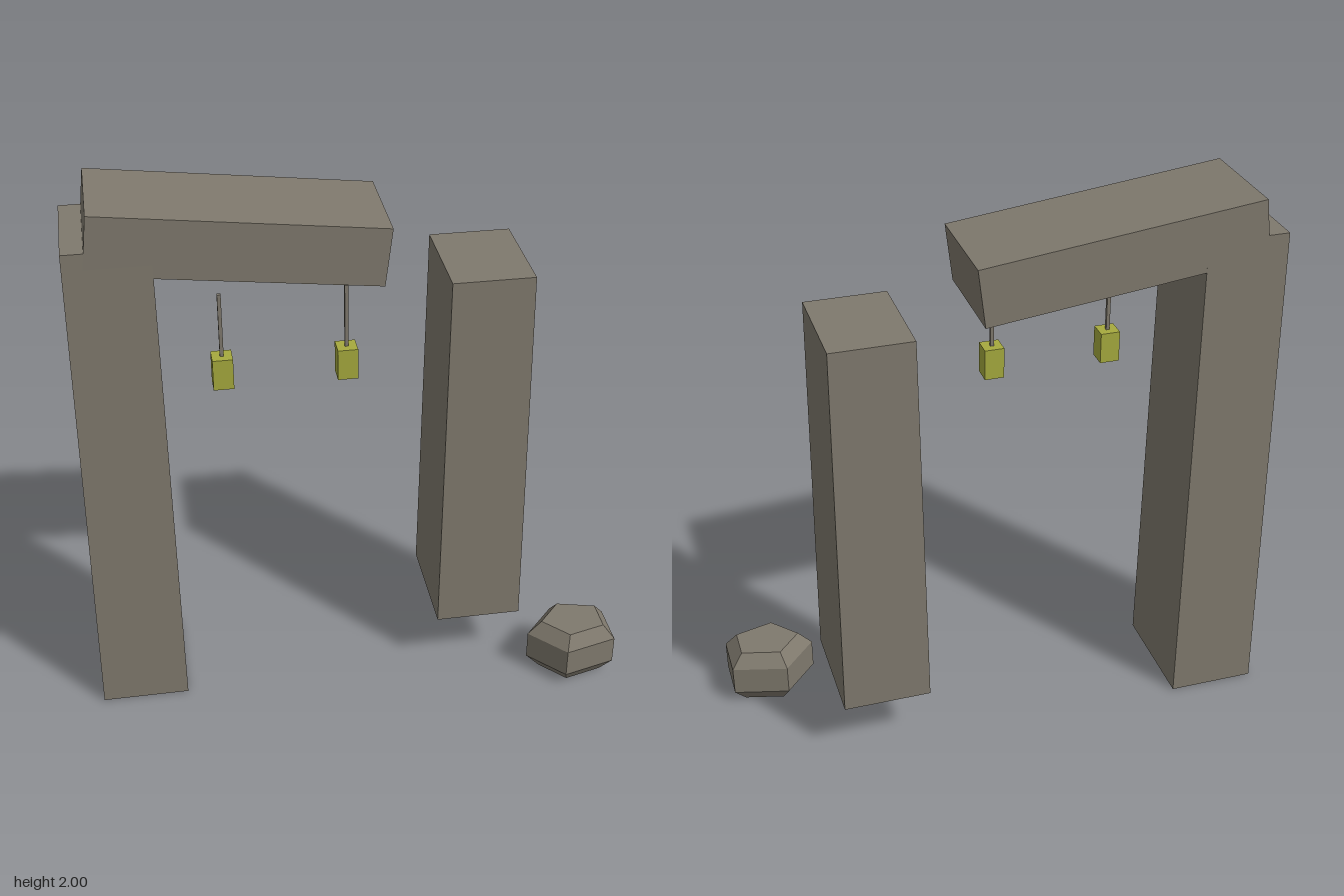
import * as THREE from 'three';

export function createModel() {
  const model = new THREE.Group();
  model.name = 'ruinedGate';

  const stone = new THREE.MeshStandardMaterial({ color: 0x7f796d, flatShading: true });
  stone.name = 'stone';
  const glow = new THREE.MeshStandardMaterial({ color: 0xa6aa3e, flatShading: true });
  glow.name = 'lanternYellow';

  const Z = -0.105; // depth centre of the gate

  function add(name, geometry, material, x, y, z, parent = model) {
    const mesh = new THREE.Mesh(geometry, material);
    mesh.name = name;
    mesh.position.set(x, y, z);
    parent.add(mesh);
    return mesh;
  }

  // Box standing on its base, narrowing towards the top
  function taperedBox(w, h, d, topScale) {
    const g = new THREE.BoxGeometry(w, h, d).translate(0, h / 2, 0);
    const p = g.attributes.position;
    for (let i = 0; i < p.count; i++) {
      if (p.getY(i) > h / 2) {
        p.setX(i, p.getX(i) * topScale);
        p.setZ(i, p.getZ(i) * topScale);
      }
    }
    g.computeVertexNormals();
    return g;
  }

  // Pillars: one standing, one shorter and floating
  add('tallPillar', taperedBox(0.32, 1.87, 0.425, 0.915), stone, -0.82, 0, Z);
  add('floatingPillar', taperedBox(0.32, 1.44, 0.425, 0.915), stone, 0.473, 0.22, Z);

  // Broken lintel, tilted down towards its free end
  const lintel = add('brokenLintel', new THREE.BoxGeometry(1.002, 0.211, 0.39), stone, -0.39, 1.835, Z);
  lintel.rotation.z = -0.12;

  // Hanging lanterns
  for (const x of [-0.461, -0.029]) {
    const lantern = new THREE.Group();
    lantern.name = 'hangingLantern';
    lantern.position.set(x, 0, 0.035);
    model.add(lantern);
    add('lanternRod', new THREE.BoxGeometry(0.013, 0.235, 0.013), stone, 0, 1.5425, 0, lantern);
    add('lanternBody', new THREE.BoxGeometry(0.071, 0.115, 0.071), glow, 0, 1.3675, 0, lantern);
  }

  // Five-sided fallen boulder with bevelled top and bottom
  const profile = [[0, 0], [0.126, 0], [0.178, 0.054], [0.178, 0.163], [0.126, 0.217], [0, 0.217]]
    .map(([r, y]) => new THREE.Vector2(r, y));
  const boulder = add('boulder', new THREE.LatheGeometry(profile, 5, -Math.PI / 2), stone, 0.833, 0, 0.18);
  boulder.scale.z = 0.8;

  return model;
}
